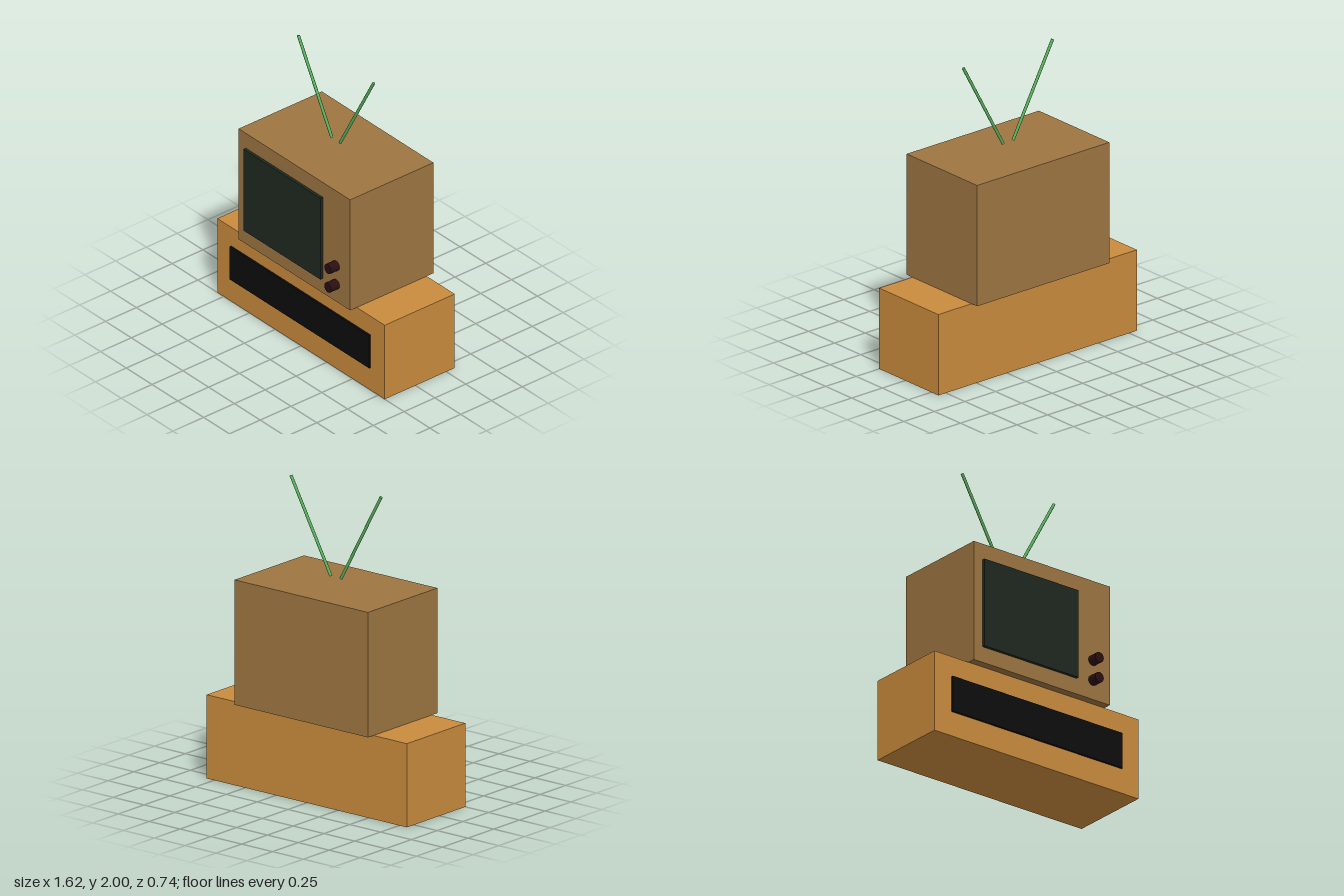
import * as THREE from 'three';

const material = (color) => new THREE.MeshStandardMaterial({ color });

export function createModel() {
  const group = new THREE.Group();
  const wood = material(0xc98b3d);
  const casing = material(0x9d7541);
  const glass = material(0x1f2820);
  const black = material(0x0d0d0d);
  const knobMat = material(0x2a1012);
  const green = material(0x58b05c);

  const add = (name, geometry, mat, x, y, z) => {
    const mesh = new THREE.Mesh(geometry, mat);
    mesh.name = name;
    mesh.position.set(x, y, z);
    group.add(mesh);
    return mesh;
  };
  // Box given by its lower and upper corners
  const box = (name, mat, [x0, y0, z0], [x1, y1, z1]) =>
    add(name, new THREE.BoxGeometry(x1 - x0, y1 - y0, z1 - z0), mat,
      (x0 + x1) / 2, (y0 + y1) / 2, (z0 + z1) / 2);

  // Cabinet with its dark front panel
  box('cabinet', wood, [-0.812, 0, -0.318], [0.812, 0.545, 0.25]);
  box('cabinetPanel', black, [-0.676, 0.167, 0.236], [0.676, 0.408, 0.263]);

  // Television casing and screen
  box('televisionCasing', casing, [-0.541, 0.545, -0.372], [0.541, 1.359, 0.304]);
  box('screen', glass, [-0.471, 0.652, 0.29], [0.276, 1.25, 0.324]);

  // Two control knobs
  const knobGeometry = new THREE.CylinderGeometry(0.034, 0.034, 0.08, 20).rotateX(Math.PI / 2);
  for (const [name, y] of [['upperKnob', 0.811], ['lowerKnob', 0.674]]) {
    add(name, knobGeometry, knobMat, 0.405, y, 0.332);
  }

  // Pair of antenna rods, hovering just above the casing
  const rodGeometry = new THREE.CylinderGeometry(0.01, 0.01, 0.676, 10);
  for (const side of [1, -1]) {
    const rod = add(side > 0 ? 'leftAntenna' : 'rightAntenna', rodGeometry, green,
      side * 0.203, 1.6985, -0.034);
    rod.rotation.z = -side * 0.5;
  }
  return group;
}
